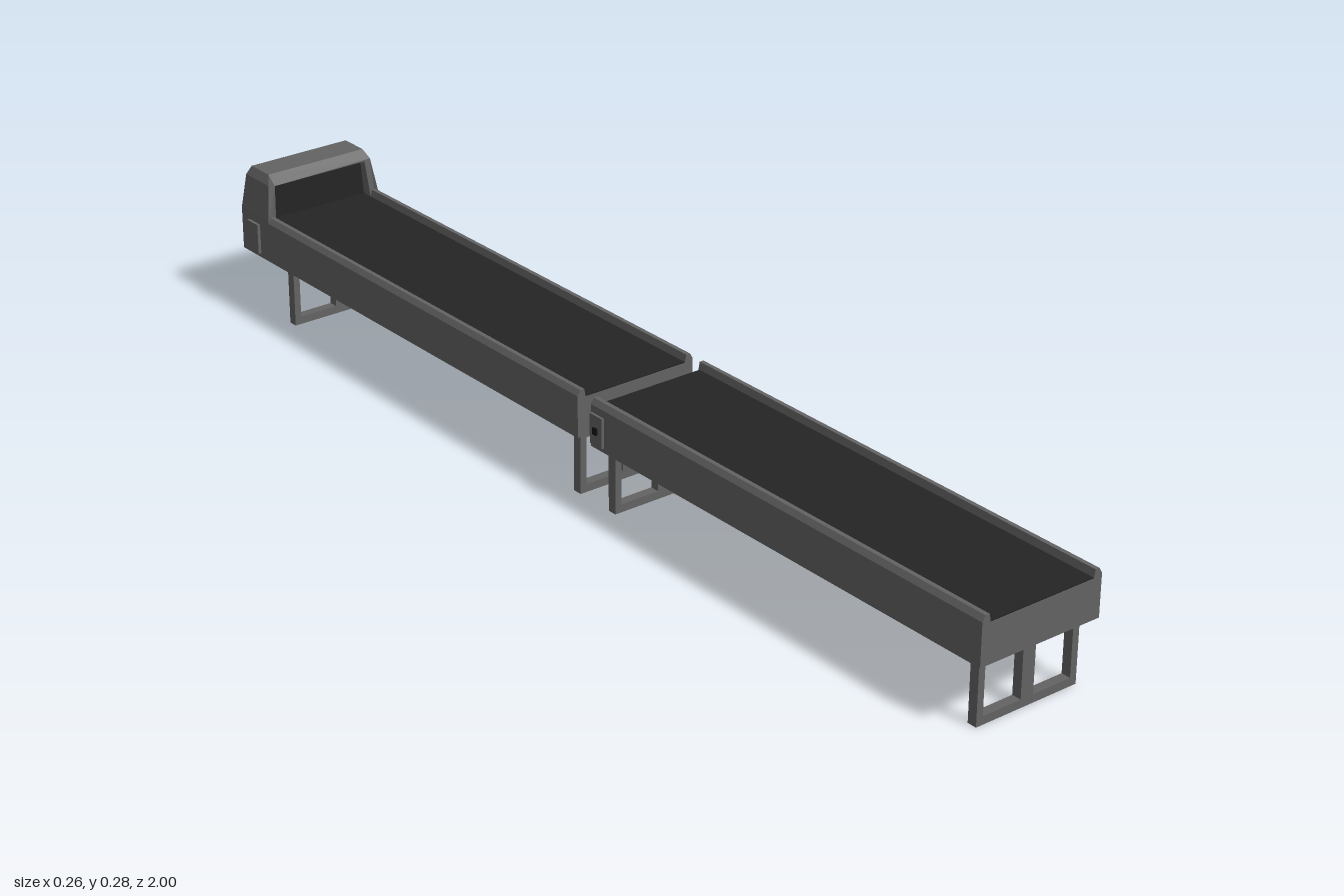
import * as THREE from 'three';

const frameGray = new THREE.MeshStandardMaterial({ color: 0x636363 });
frameGray.name = 'frame gray';
const beltBlack = new THREE.MeshStandardMaterial({ color: 0x242424 });
beltBlack.name = 'belt black';
const buttonBlack = new THREE.MeshStandardMaterial({ color: 0x111111 });
buttonBlack.name = 'button black';

// Outline mirrored about x = 0, from the right half listed bottom to top.
function mirrored(half) {
  const left = half.map(([x, y]) => [-x, y]).reverse();
  return new THREE.Shape([...half, ...left].map(([x, y]) => new THREE.Vector2(x, y)));
}

function extrude(shape, z0, z1) {
  const geo = new THREE.ExtrudeGeometry(shape, { depth: z1 - z0, bevelEnabled: false });
  return geo.translate(0, 0, z0);
}

function add(parent, name, geo, material) {
  const mesh = new THREE.Mesh(geo, material);
  mesh.name = name;
  parent.add(mesh);
  return mesh;
}

function addBox(parent, name, material, size, pos) {
  add(parent, name, new THREE.BoxGeometry(...size), material).position.set(...pos);
}

// Piecewise linear lookup in [y, z] pairs.
function lookup(table, y) {
  for (let i = 1; i < table.length; i++) {
    const [y0, z0] = table[i - 1], [y1, z1] = table[i];
    if (y <= y1) return z0 + (z1 - z0) * Math.max(0, (y - y0) / (y1 - y0));
  }
  return table[table.length - 1][1];
}

// Moves one end of an extrusion onto a sloped face.
function slopeEnd(geo, zEnd, table) {
  const p = geo.attributes.position;
  for (let i = 0; i < p.count; i++) {
    if (Math.abs(p.getZ(i) - zEnd) < 1e-4) p.setZ(i, lookup(table, p.getY(i)));
  }
  geo.computeVertexNormals();
  return geo;
}

// Trough with raised, chamfered side rails, and the belt lying in it.
function bed(name, z0, z1, beltZ0) {
  const group = new THREE.Group();
  group.name = name;
  const profile = mirrored([
    [0.123, 0.118], [0.123, 0.195], [0.117, 0.205], [0.109, 0.205], [0.106, 0.19],
  ]);
  add(group, 'bedFrame', extrude(profile, z0, z1), frameGray);
  addBox(group, 'belt', beltBlack, [0.212, 0.003, z1 - beltZ0 - 0.002],
    [0, 0.1905, (beltZ0 + z1) / 2]);
  return group;
}

// Flat leg frame with two openings.
function legFrame(z) {
  const shape = mirrored([[0.104, 0], [0.104, 0.119]]);
  for (const x of [-0.091, 0.013]) {
    shape.holes.push(new THREE.Path([
      [x, 0.015], [x, 0.103], [x + 0.078, 0.103], [x + 0.078, 0.015],
    ].map(([a, b]) => new THREE.Vector2(a, b))));
  }
  const mesh = new THREE.Mesh(extrude(shape, z - 0.009, z + 0.009), frameGray);
  mesh.name = 'legFrame';
  return mesh;
}

// Tapered end hood with a dark mouth.
function hood() {
  const group = new THREE.Group();
  group.name = 'hood';
  const outer = [[0.123, 0.118], [0.123, 0.2], [0.113, 0.265], [0.105, 0.282]];
  const mouth = [[0.106, 0.19], [0.1, 0.262]];

  const back = slopeEnd(extrude(mirrored(outer), -1, -0.94), -1,
    [[0.2, -1], [0.265, -0.995], [0.282, -0.987]]);
  add(group, 'hoodBack', back, frameGray);

  // Arch around the mouth, with its front leaning back
  const arch = mirrored([...outer, ...[]]);
  arch.holes.push(new THREE.Path(
    [...mouth, ...mouth.map(([x, y]) => [-x, y]).reverse()]
      .map(([x, y]) => new THREE.Vector2(x, y))));
  const front = slopeEnd(extrude(arch, -0.94, -0.909), -0.909,
    [[0.2, -0.909], [0.265, -0.918], [0.282, -0.93]]);
  add(group, 'hoodArch', front, frameGray);

  add(group, 'mouthCurtain', extrude(mirrored(mouth), -0.94, -0.932), beltBlack);
  return group;
}

export function createModel() {
  const model = new THREE.Group();
  model.name = 'conveyor';

  model.add(bed('frontBed', 0.068, 1, 0.07));
  model.add(bed('rearBed', -0.909, 0.032, -0.935));
  model.add(hood());
  for (const z of [0.97, 0.1, 0.005, -0.87]) model.add(legFrame(z));

  // Switch plates with buttons beside the gap
  for (const s of [-1, 1]) {
    addBox(model, 'switchPlate', frameGray, [0.008, 0.055, 0.032], [s * 0.124, 0.154, 0.087]);
    addBox(model, 'switchButton', buttonBlack, [0.006, 0.012, 0.01], [s * 0.129, 0.154, 0.087]);
  }
  // Service plate on the hood's right side
  addBox(model, 'servicePlate', frameGray, [0.008, 0.058, 0.036], [-0.125, 0.155, -0.957]);

  return model;
}
